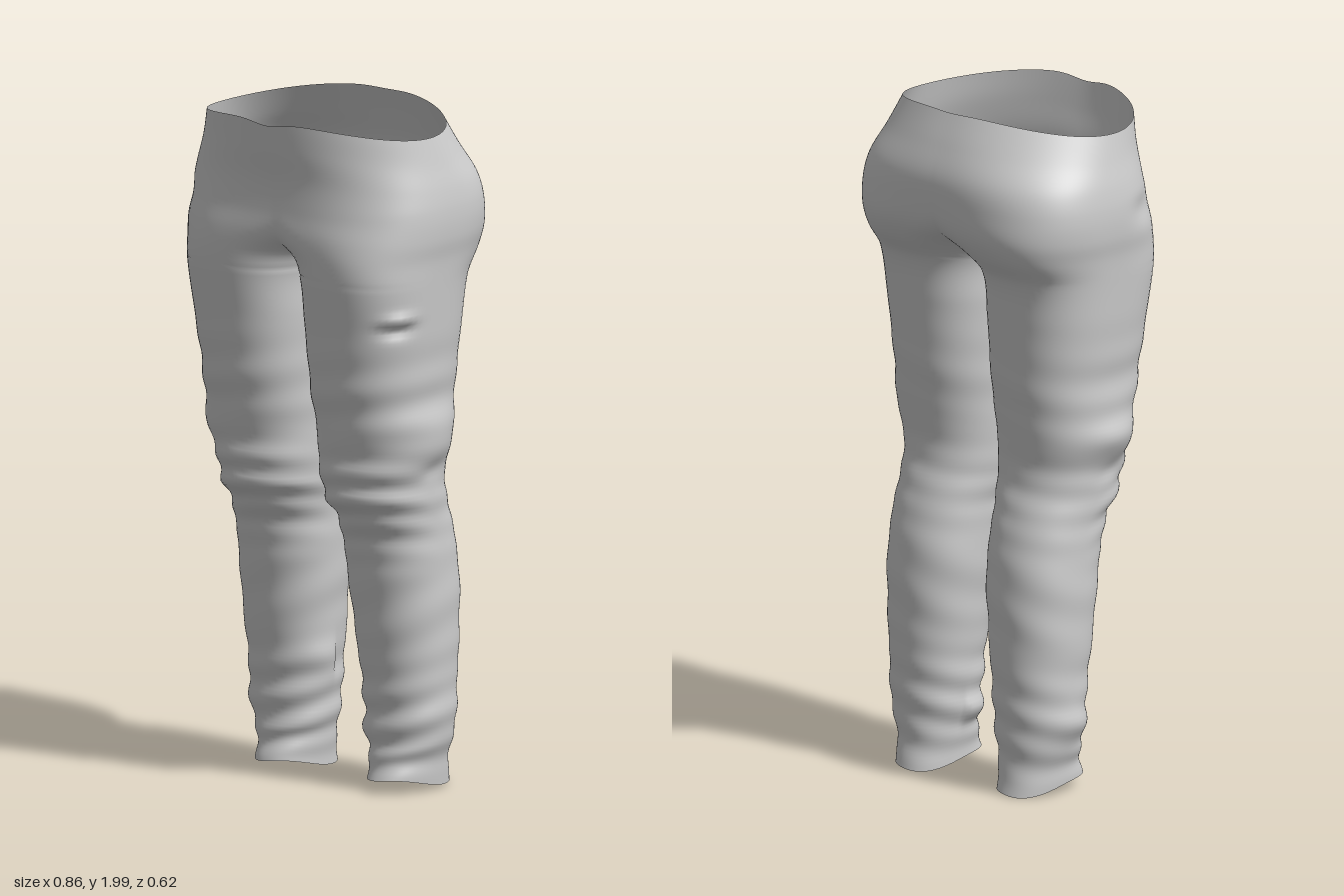
import * as THREE from 'three';
import { mergeGeometries, mergeVertices } from 'three/addons/utils/BufferGeometryUtils.js';

// Cross-sections of one leg and its half of the hips:
// height, outer x, inner x (negative = merged with the other half), front z, back z, squareness
const SECTIONS = [
  [0.00, 0.300, 0.110, 0.060, -0.220, 2.2],
  [0.08, 0.305, 0.105, 0.040, -0.205, 2.2],
  [0.20, 0.335, 0.085, 0.040, -0.210, 2.2],
  [0.32, 0.340, 0.075, 0.050, -0.215, 2.2],
  [0.50, 0.350, 0.058, 0.075, -0.222, 2.2],
  [0.65, 0.353, 0.045, 0.095, -0.220, 2.2],
  [0.79, 0.350, 0.042, 0.125, -0.195, 2.2],
  [0.87, 0.355, 0.028, 0.175, -0.170, 2.2],
  [0.95, 0.362, 0.020, 0.195, -0.152, 2.3],
  [1.05, 0.385, 0.016, 0.205, -0.160, 2.3],
  [1.20, 0.385, 0.010, 0.235, -0.180, 2.4],
  [1.40, 0.403, 0.004, 0.262, -0.196, 2.5],
  [1.53, 0.412, 0.001, 0.280, -0.215, 2.6],
  [1.60, 0.418, -0.040, 0.285, -0.268, 2.6],
  [1.66, 0.428, -0.170, 0.285, -0.298, 2.7],
  [1.73, 0.430, -0.340, 0.280, -0.308, 2.8],
  [1.82, 0.420, -0.420, 0.282, -0.306, 2.6],
  [1.91, 0.400, -0.400, 0.298, -0.275, 2.2],
  [2.00, 0.380, -0.380, 0.312, -0.235, 2.0],
];

// Local dents and bulges: side, height, angle, height spread, angle spread, amount
const BUMPS = [
  [1, 1.44, 2.5, 0.02, 0.2, 0.018], [1, 1.41, 2.5, 0.02, 0.2, -0.018],
  [-1, 1.06, 3.0, 0.05, 0.5, 0.016], [-1, 0.94, 2.8, 0.03, 0.4, -0.014],
  [1, 1.07, 3.2, 0.06, 0.5, 0.010], [1, 0.97, 3.3, 0.03, 0.4, -0.010],
  [-1, 1.72, 2.6, 0.04, 0.2, -0.012], [-1, 0.34, 0.2, 0.05, 0.6, 0.014],
  [1, 0.18, 0.2, 0.04, 0.6, 0.012], [-1, 0.22, 3.0, 0.05, 0.5, 0.010],
];

const ROWS = 150, COLS = 72;
const gauss = (d, w) => Math.exp(-(d * d) / (w * w));

// Smooth interpolation of a section column
function section(y) {
  const S = SECTIONS, last = S.length - 1;
  let i = 0;
  while (i < last - 1 && y > S[i + 1][0]) i++;
  const h = S[i + 1][0] - S[i][0], t = (y - S[i][0]) / h;
  const slope = (k, c) => {
    const a = Math.max(k - 1, 0), b = Math.min(k + 1, last);
    return (S[b][c] - S[a][c]) / (S[b][0] - S[a][0]);
  };
  return [1, 2, 3, 4, 5].map((c) =>
    (1 + 2 * t) * (1 - t) ** 2 * S[i][c] + t * (1 - t) ** 2 * h * slope(i, c) +
    t * t * (3 - 2 * t) * S[i + 1][c] + t * t * (t - 1) * h * slope(i + 1, c));
}

// Cloth folds as an outward offset
function folds(y, a, side) {
  const front = Math.max(Math.sin(a), 0), back = Math.max(-Math.sin(a), 0);
  const inside = Math.abs(Math.cos(a)) * (Math.cos(a) > 0 ? 1 : 0);
  let d = 0.007 * gauss(y - 0.88, 0.13) * (0.25 + front) * Math.sin(y * 75 + 1.5 * side * Math.cos(a) - 2 * front);
  d += 0.006 * gauss(y - 0.2, 0.16) * (0.5 + 0.5 * front + 0.3 * inside) * Math.sin(y * 62 + 2.2 * Math.sin(a + side) + side);
  d += 0.004 * gauss(y - 1.16, 0.15) * (1 - 0.7 * back) * Math.sin(y * 48 + 2 * side * Math.cos(a));
  d += 0.002 * gauss(y - 0.55, 0.2) * Math.sin(y * 40 + 3 * Math.sin(a + side));
  d *= 1 - 0.6 * inside * (y > 0.9 ? 1 : 0);
  for (const [s, by, ba, wy, wa, amount] of BUMPS)
    if (s === side) d += amount * gauss(y - by, wy) * gauss(a - ba, wa);
  return d;
}

// One half: closed rings up the leg, opening along the middle above the crotch
function trouserHalf(side) {
  const pos = [], index = [];
  for (let r = 0; r <= ROWS; r++) {
    const y0 = (2 * r) / ROWS;
    const [outer, inner, zf, zb, n] = section(y0);
    const cx = (outer + inner) / 2, rx = (outer - inner) / 2;
    const cz = (zf + zb) / 2, rz = (zf - zb) / 2;
    const radius = (a) => (Math.abs(Math.cos(a)) ** n + Math.abs(Math.sin(a)) ** n) ** (-1 / n);

    // Angle where the ring meets the middle plane
    let lo = 0, hi = Math.PI / 2;
    if (inner < 0) {
      for (let k = 0; k < 30; k++) {
        const m = (lo + hi) / 2;
        if (cx - rx * radius(m) * Math.cos(m) < 0) lo = m; else hi = m;
      }
    }
    const open = inner < 0;
    const start = open ? hi : 0;

    for (let c = 0; c <= COLS; c++) {
      const edge = c === 0 || c === COLS;
      const a = start + ((2 * Math.PI - 2 * start) * c) / COLS;
      const d = y0 > 1.5 && edge ? 0 : folds(y0, c === COLS && !open ? 0 : a, side);
      let x = cx - (rx * radius(a) + d) * Math.cos(a);
      const z = cz + (rz * radius(a) + d) * Math.sin(a);
      x = open && edge ? 0 : Math.max(x, 0.001);

      // Tilted, uneven hem and a waistline that dips at the sides
      const hem = Math.max(0, 1 - y0 / 0.15);
      const waist = Math.max(0, (y0 - 1.75) / 0.25);
      const y = y0 + hem * (0.026 + 0.02 * Math.sin(a) + 0.005 * Math.sin(3 * a + side))
        - waist * (0.045 * (x / 0.38) ** 2 + 0.015 * gauss(x, 0.07) * (z > 0 ? 1 : 0.3));
      pos.push(side * x, y, z);
    }
  }
  const w = COLS + 1;
  for (let r = 0; r < ROWS; r++) for (let c = 0; c < COLS; c++) {
    const p = r * w + c, q = p + 1, s = p + w, t = s + 1;
    if (side > 0) index.push(p, q, t, p, t, s);
    else index.push(p, t, q, p, s, t);
  }
  const g = new THREE.BufferGeometry();
  g.setAttribute('position', new THREE.Float32BufferAttribute(pos, 3));
  g.setIndex(index);
  return g;
}

export function createModel() {
  const group = new THREE.Group();
  group.name = 'trousers';

  // Both halves welded along the middle seam for smooth shading
  const cloth = mergeVertices(mergeGeometries([trouserHalf(1), trouserHalf(-1)]), 1e-4);
  cloth.computeVertexNormals();
  const mesh = new THREE.Mesh(cloth, new THREE.MeshStandardMaterial({ color: 0xcccccc, side: THREE.DoubleSide }));
  mesh.name = 'trouserCloth';
  group.add(mesh);
  return group;
}
